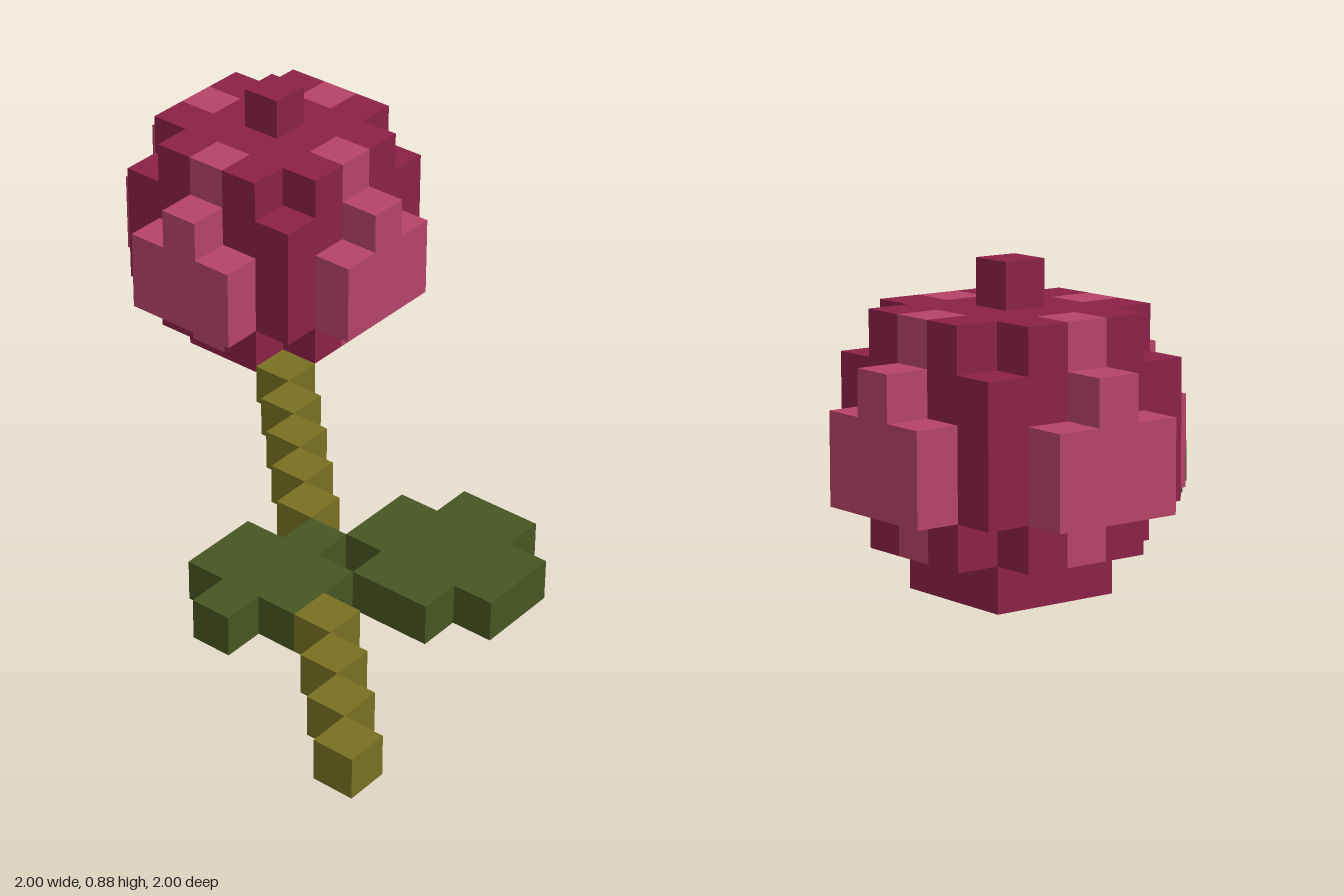
import * as THREE from 'three';
import { mergeGeometries } from 'three/addons/utils/BufferGeometryUtils.js';

const CELL = 0.125;

export function createModel() {
  const mat = (name, color) => {
    const m = new THREE.MeshStandardMaterial({ color });
    m.name = name;
    return m;
  };
  const crimson = mat('crimson', 0x8b2147);
  const pink = mat('pink', 0xb54368);
  const olive = mat('olive', 0x787022);
  const green = mat('leaf green', 0x475521);

  // Cells of a 16 x 7 x 16 grid; a later fill replaces an earlier one
  const cells = new Map();
  const fill = (part, x, y, z, w = 1, h = 1, d = 1) => {
    for (let i = x; i < x + w; i++)
      for (let j = y; j < y + h; j++)
        for (let k = z; k < z + d; k++) cells.set([i, j, k].join(), part);
  };

  // Diagonal stem
  for (let i = 0; i <= 10; i++) fill('stem', i, 0, 15 - i);

  // Two cross-shaped leaves
  fill('smallLeaf', 3, 0, 9, 2, 1, 3);
  fill('smallLeaf', 2, 0, 10, 4, 1, 1);
  fill('largeLeaf', 6, 0, 11, 2, 1, 4);
  fill('largeLeaf', 5, 0, 12, 4, 1, 2);

  // Flower: base, rounded body without its eight corners, and tip
  fill('flowerBase', 11, 0, 2, 3, 1, 3);
  fill('flowerBody', 10, 1, 2, 5, 5, 3);
  fill('flowerBody', 11, 1, 1, 3, 5, 5);
  fill('flowerBody', 10, 2, 1, 5, 3, 5);
  fill('flowerTip', 12, 6, 3);

  // Four petals with a raised tip, and pink marks above and below each
  for (const s of [-1, 1]) {
    fill('petals', 11, 2, 3 + 3 * s, 3, 2, 1);
    fill('petals', 12 + 3 * s, 2, 2, 1, 2, 3);
    fill('petals', 12, 4, 3 + 3 * s);
    fill('petals', 12 + 3 * s, 4, 3);
    for (const y of [1, 5]) {
      fill('petalMarks', 12, y, 3 + 2 * s);
      fill('petalMarks', 12 + 2 * s, y, 3);
    }
  }

  // Outer faces of every cell, gathered by part
  const sides = [
    [1, 0, 0], [-1, 0, 0], [0, 1, 0], [0, -1, 0], [0, 0, 1], [0, 0, -1],
  ];
  const faces = {};
  for (const [key, part] of cells) {
    const c = key.split(',').map(Number);
    for (const n of sides) {
      if (cells.has(c.map((v, a) => v + n[a]).join())) continue;
      const face = new THREE.PlaneGeometry(CELL, CELL);
      if (n[1]) face.rotateX((-n[1] * Math.PI) / 2);
      else face.rotateY(Math.atan2(n[0], n[2]));
      const [x, y, z] = c.map((v, a) => (v + 0.5 + n[a] / 2) * CELL);
      face.translate(x - 1, y, z - 1);
      (faces[part] ??= []).push(face);
    }
  }

  const materials = {
    stem: olive, smallLeaf: green, largeLeaf: green,
    flowerBase: crimson, flowerBody: crimson, flowerTip: crimson,
    petals: pink, petalMarks: pink,
  };
  const group = new THREE.Group();
  group.name = 'flower';
  for (const part in faces) {
    const mesh = new THREE.Mesh(mergeGeometries(faces[part]), materials[part]);
    mesh.name = part;
    group.add(mesh);
  }
  return group;
}
